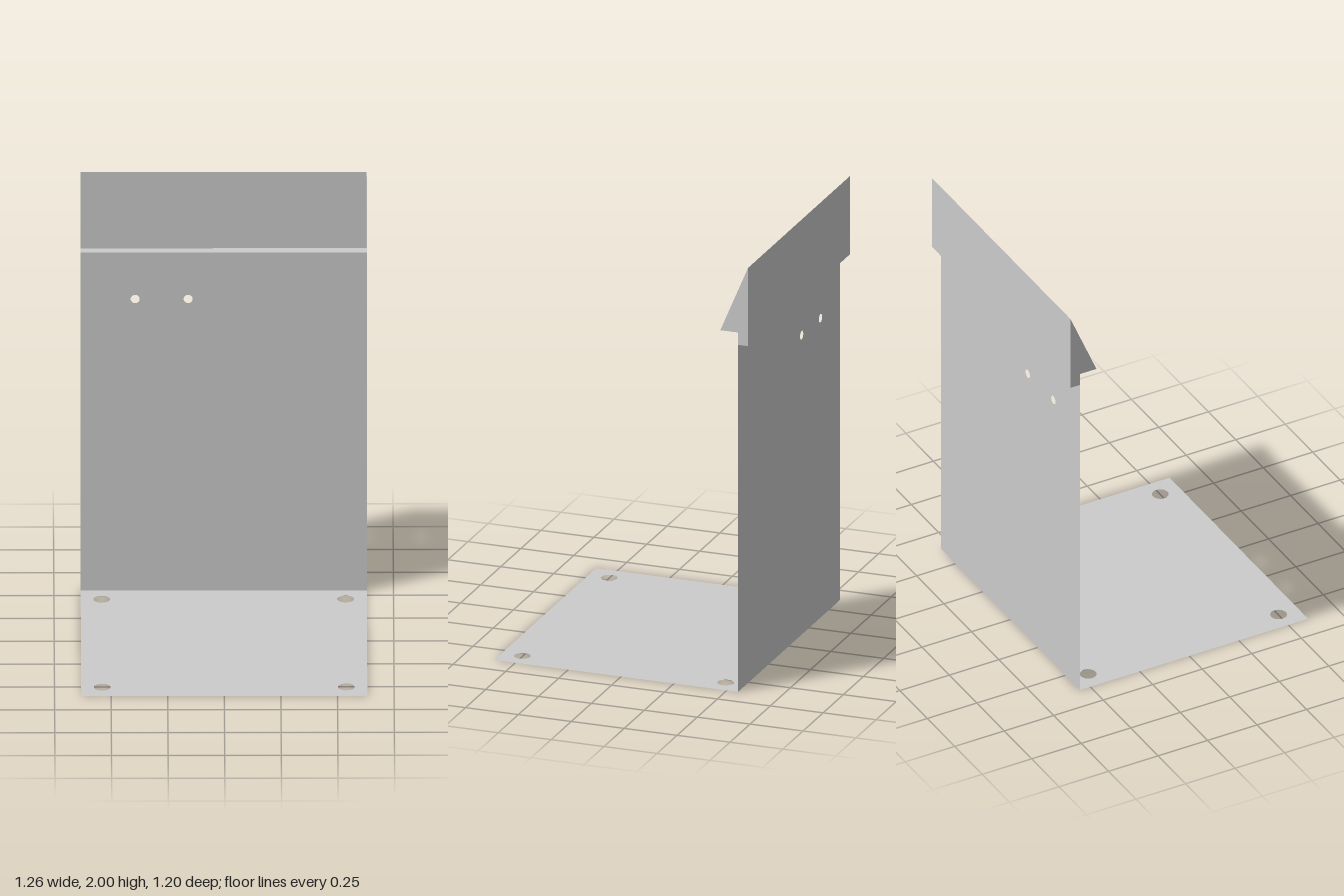
import * as THREE from 'three';

const HALF_W = 0.632;              // half width of every sheet
const BACK = -0.6, WALL = -0.553, FRONT = 0.6;
const BEND = 1.632, TOP = 2;       // height of the fold and of the top edge

const metal = new THREE.MeshStandardMaterial({ color: 0xcccccc, side: THREE.DoubleSide, flatShading: true });

// Thin flat sheet from an outline in its own plane, with round holes [x, y, r]
function sheet(name, points, holes = []) {
  const shape = new THREE.Shape(points.map(([x, y]) => new THREE.Vector2(x, y)));
  for (const [x, y, r] of holes) {
    shape.holes.push(new THREE.Path().absarc(x, y, r, 0, Math.PI * 2, true));
  }
  const mesh = new THREE.Mesh(new THREE.ShapeGeometry(shape, 24), metal);
  mesh.name = name;
  return mesh;
}

// Full-width rectangle between two levels
const strip = (a, b) => [[-HALF_W, a], [HALF_W, a], [HALF_W, b], [-HALF_W, b]];

export function createModel() {
  const group = new THREE.Group();
  group.name = 'sheetMetalBracket';

  // Base plate with four mounting holes (sheet y becomes -z)
  const baseHoles = [];
  for (const x of [-0.539, 0.539]) for (const z of [-0.459, 0.502]) baseHoles.push([x, -z, 0.037]);
  const base = sheet('basePlate', strip(-FRONT, -WALL), baseHoles);
  base.rotation.x = -Math.PI / 2;

  // Upright wall with two small holes
  const wall = sheet('uprightWall', strip(0, BEND), [[-0.391, 1.408, 0.02], [-0.157, 1.408, 0.02]]);
  wall.position.z = WALL;

  // Narrow ledge stepping back from the wall
  const ledge = sheet('ledge', strip(-WALL, -BACK));
  ledge.rotation.x = -Math.PI / 2;
  ledge.position.y = BEND;

  // Upper back panel
  const panel = sheet('upperBackPanel', strip(BEND, TOP));
  panel.position.z = BACK;

  group.add(base, wall, ledge, panel);

  // Notched triangular end plates (sheet x becomes z)
  const outline = [[BACK, BEND], [WALL, BEND], [WALL, 1.69], [-0.469, 1.69], [BACK, TOP]];
  for (const [side, name] of [[1, 'leftEndPlate'], [-1, 'rightEndPlate']]) {
    const end = sheet(name, outline.map(([z, y]) => [-z, y]));
    end.rotation.y = Math.PI / 2;
    end.position.x = side * HALF_W;
    group.add(end);
  }
  return group;
}
